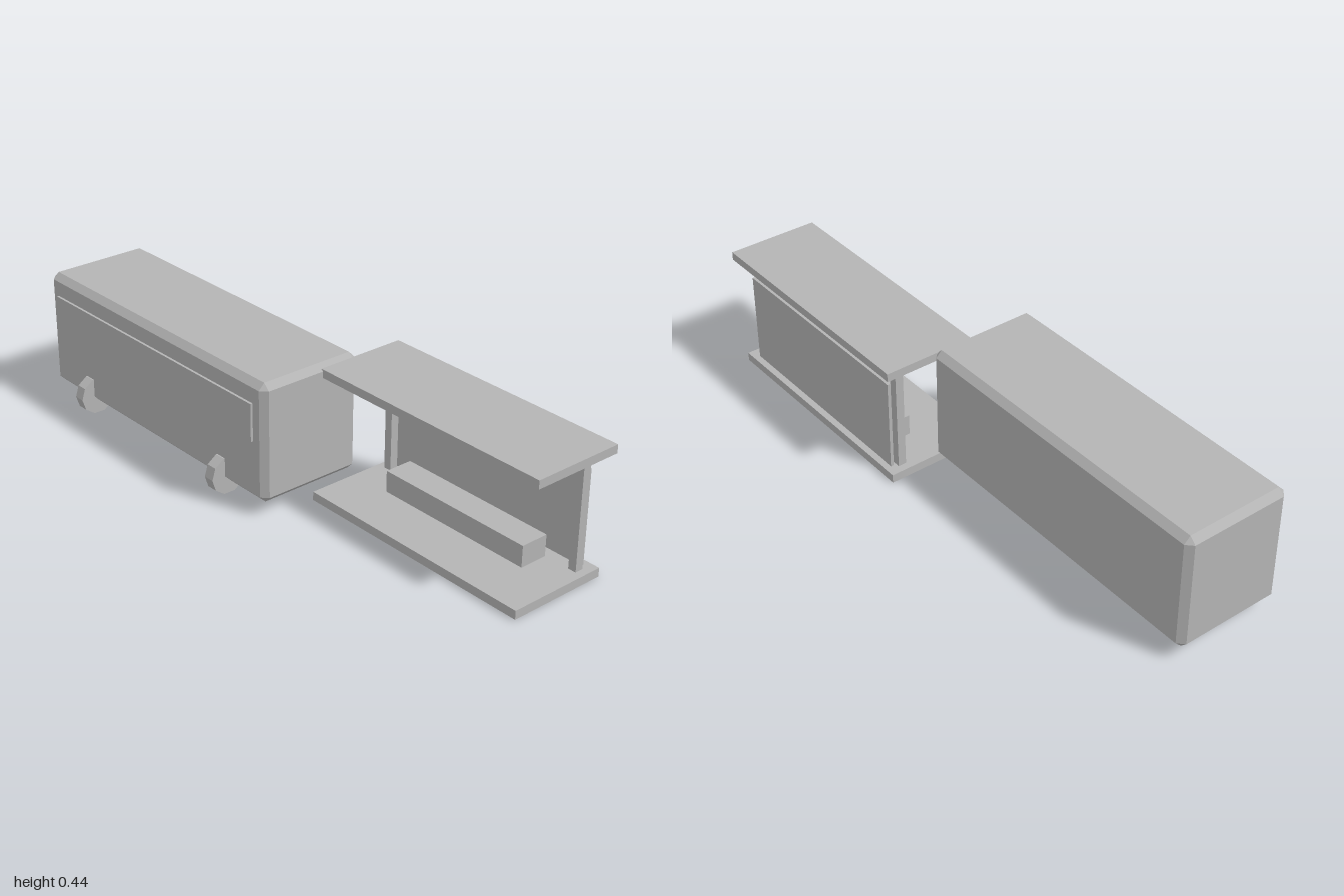
import * as THREE from 'three';
import { ConvexGeometry } from 'three/addons/geometries/ConvexGeometry.js';

const grey = new THREE.MeshStandardMaterial({ color: 0xb4b4b4 });
grey.name = 'plain grey';

function add(parent, name, geometry, x = 0, y = 0, z = 0) {
  const mesh = new THREE.Mesh(geometry, grey);
  mesh.name = name;
  mesh.position.set(x, y, z);
  parent.add(mesh);
  return mesh;
}

// Box given by its limits on each axis
function block(parent, name, [x0, x1], [y0, y1], [z0, z1]) {
  return add(parent, name, new THREE.BoxGeometry(x1 - x0, y1 - y0, z1 - z0),
    (x0 + x1) / 2, (y0 + y1) / 2, (z0 + z1) / 2);
}

// Box with a flat chamfer on every edge
function chamferedBox(w, h, d, c) {
  const points = [];
  for (const sx of [-1, 1]) for (const sy of [-1, 1]) for (const sz of [-1, 1]) {
    for (let axis = 0; axis < 3; axis++) {
      const inset = [c, c, c];
      inset[axis] = 0;
      points.push(new THREE.Vector3(
        sx * (w / 2 - inset[0]), sy * (h / 2 - inset[1]), sz * (d / 2 - inset[2])));
    }
  }
  return new ConvexGeometry(points);
}

export function createModel() {
  const model = new THREE.Group();
  model.name = 'busAndShelter';

  // Bus
  const bus = new THREE.Group();
  bus.name = 'bus';
  model.add(bus);
  const busX = -0.436;
  add(bus, 'busBody', chamferedBox(1.128, 0.398, 0.37, 0.021), busX, 0.243, 0.061);
  block(bus, 'windowBand', [-0.953, 0.077], [0.244, 0.37], [0.245, 0.254]);

  // Ten-sided wheels along the front side, axles across x
  const wheel = new THREE.CylinderGeometry(0.065, 0.065, 0.038, 10).toNonIndexed();
  wheel.computeVertexNormals();
  wheel.rotateZ(Math.PI / 2);
  for (const side of [-1, 1]) {
    add(bus, side < 0 ? 'rightWheel' : 'leftWheel', wheel, busX + side * 0.354, 0.066, 0.23);
  }

  // Shelter
  const shelter = new THREE.Group();
  shelter.name = 'shelter';
  model.add(shelter);
  const shelterX = 0.56;
  block(shelter, 'shelterFloor', [0.135, 0.985], [0, 0.029], [-0.28, 0.06]);
  block(shelter, 'shelterRoof', [0.12, 1], [0.4, 0.428], [-0.294, 0.018]);
  block(shelter, 'backPanel', [0.175, 0.945], [0.029, 0.342], [-0.258, -0.247]);
  block(shelter, 'bench', [0.277, 0.843], [0.029, 0.101], [-0.209, -0.112]);
  for (const side of [-1, 1]) {
    const x = shelterX + side * 0.385;
    block(shelter, side < 0 ? 'rightPost' : 'leftPost',
      [x - 0.014, x + 0.014], [0.029, 0.4], [-0.238, -0.21]);
  }

  return model;
}
